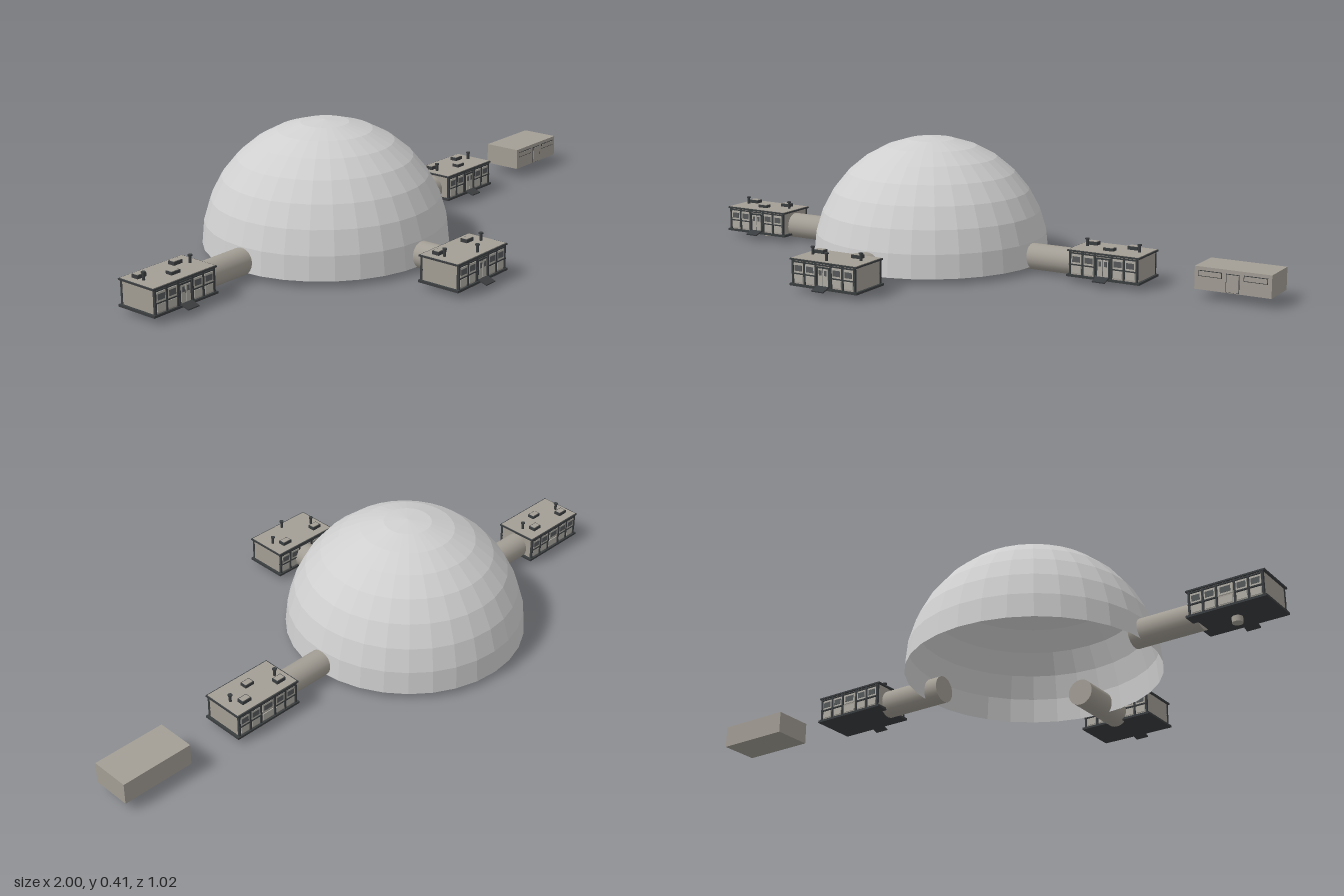
import * as THREE from 'three';

const mat = (name, color, extra = {}) => {
  const m = new THREE.MeshStandardMaterial({ color, ...extra });
  m.name = name;
  return m;
};

export function createModel() {
  const root = new THREE.Group();
  root.name = 'domeHabitat';
  const domeMat = mat('dome pale grey', 0xcfcfcf, { side: THREE.DoubleSide, flatShading: true });
  const wallMat = mat('wall warm grey', 0xa39e95);
  const trimMat = mat('trim charcoal', 0x3a3d3f);
  const panelMat = mat('panel light grey', 0xaeaca4);
  const glassMat = mat('window dark grey', 0x55585a);

  const add = (parent, name, geo, material, x, y, z) => {
    const m = new THREE.Mesh(geo, material);
    m.name = name;
    m.position.set(x, y, z);
    parent.add(m);
    return m;
  };
  const box = (p, name, material, w, h, d, x, y, z) =>
    add(p, name, new THREE.BoxGeometry(w, h, d), material, x, y, z);
  const cyl = (p, name, material, r, h, x, y, z, n = 12) =>
    add(p, name, new THREE.CylinderGeometry(r, r, h, n), material, x, y, z);

  // Faceted hemisphere, open underneath
  const DX = -0.2, DZ = -0.125;
  add(root, 'dome', new THREE.SphereGeometry(0.387, 32, 8, 0, Math.PI * 2, 0, Math.PI / 2),
    domeMat, DX, 0.018, DZ);

  // Connecting tunnels
  cyl(root, 'tunnelRight', wallMat, 0.042, 0.22, -0.66, 0.049, DZ, 24).rotation.z = Math.PI / 2;
  cyl(root, 'tunnelLeft', wallMat, 0.042, 0.22, 0.245, 0.049, DZ, 24).rotation.z = Math.PI / 2;
  cyl(root, 'tunnelFront', wallMat, 0.042, 0.22, DX, 0.049, 0.245, 24).rotation.x = Math.PI / 2;

  // Wall dressing for a long face; dir = +1 front, -1 back
  function facade(g, dir) {
    const z = dir * 0.066;
    const front = dir > 0;
    for (const s of [-1, 1]) {
      // Corner, middle and door-side posts
      for (const px of [0.113, 0.07, 0.028]) {
        box(g, 'post', trimMat, 0.006, 0.074, 0.008, s * px, 0.061, z);
      }
      // Windows in pale frames above, panels below
      for (const wx of [0.0915, 0.049]) {
        box(g, 'windowFrame', panelMat, 0.034, 0.03, 0.006, s * wx, 0.074, z);
        box(g, 'windowPane', glassMat, 0.026, 0.018, 0.008, s * wx, 0.074, z);
        box(g, 'lowerPanel', panelMat, 0.03, 0.022, 0.006, s * wx, 0.042, z);
      }
      box(g, 'sill', trimMat, 0.09, 0.004, 0.01, s * 0.071, 0.057, z);
    }
    box(g, 'lintel', trimMat, 0.23, 0.004, 0.008, 0, 0.093, z);
    if (front) {
      // Double door
      box(g, 'doorFrame', trimMat, 0.046, 0.064, 0.006, 0, 0.056, z);
      for (const s of [-1, 1]) {
        box(g, 'doorLeaf', panelMat, 0.017, 0.056, 0.009, s * 0.0095, 0.055, z);
        box(g, 'doorPane', glassMat, 0.009, 0.016, 0.011, s * 0.0095, 0.07, z);
      }
    } else {
      box(g, 'windowFrame', panelMat, 0.044, 0.03, 0.006, 0, 0.074, z);
      box(g, 'windowPane', glassMat, 0.032, 0.018, 0.008, 0, 0.074, z);
      box(g, 'lowerPanel', panelMat, 0.04, 0.022, 0.006, 0, 0.042, z);
    }
  }

  function module(name, x, z, roundVent) {
    const g = new THREE.Group();
    g.name = name;
    g.position.set(x, 0, z);
    root.add(g);
    box(g, 'basePlate', trimMat, 0.247, 0.007, 0.146, 0, 0.0215, 0);
    box(g, 'body', wallMat, 0.23, 0.076, 0.132, 0, 0.062, 0);
    box(g, 'roofTrim', trimMat, 0.244, 0.005, 0.143, 0, 0.1, 0);
    box(g, 'roof', wallMat, 0.236, 0.004, 0.135, 0, 0.102, 0);
    facade(g, 1);
    facade(g, -1);
    // Sloping entry ramp
    box(g, 'ramp', trimMat, 0.043, 0.004, 0.036, 0, 0.024, 0.083).rotation.x = 0.3;
    // Rooftop vents and stacks
    for (const s of [-1, 1]) {
      const vx = s < 0 ? -0.08 : 0.058;
      box(g, 'ventHousing', trimMat, 0.034, 0.011, 0.024, vx, 0.109, -0.03);
      box(g, 'ventTop', wallMat, 0.028, 0.003, 0.018, vx, 0.1145, -0.03);
      cyl(g, 'stack', trimMat, 0.0045, 0.026, s * 0.089, 0.115, -0.002);
      cyl(g, 'stackCap', trimMat, 0.007, 0.004, s * 0.089, 0.127, -0.002);
    }
    if (roundVent) {
      cyl(g, 'stack', trimMat, 0.0045, 0.026, 0, 0.115, 0.05);
      cyl(g, 'stackCap', trimMat, 0.007, 0.004, 0, 0.127, 0.05);
    } else {
      box(g, 'ventHousing', trimMat, 0.034, 0.01, 0.024, 0, 0.108, 0.022);
      box(g, 'ventTop', wallMat, 0.028, 0.003, 0.018, 0, 0.113, 0.022);
    }
    return g;
  }

  const right = module('moduleRight', -0.8765, -0.123, false);
  module('moduleLeft', 0.462, -0.123, false);
  module('moduleFront', -0.203, 0.412, true);
  // Drain fitting under the right module
  cyl(right, 'floorDrain', wallMat, 0.016, 0.02, 0.003, 0.01, 0.003, 16);

  // Detached plain hut
  const hut = new THREE.Group();
  hut.name = 'hut';
  hut.position.set(0.88, 0, -0.125);
  root.add(hut);
  box(hut, 'hutBody', wallMat, 0.24, 0.07, 0.128, 0, 0.065, 0);
  const hz = 0.0645;
  for (const s of [-1, 1]) {
    box(hut, 'hutWindowFrame', trimMat, 0.074, 0.018, 0.002, s * 0.071, 0.08, hz);
    box(hut, 'hutWindow', wallMat, 0.07, 0.014, 0.004, s * 0.071, 0.08, hz);
  }
  box(hut, 'hutDoorFrame', trimMat, 0.042, 0.056, 0.002, 0, 0.06, hz);
  box(hut, 'hutDoor', wallMat, 0.038, 0.053, 0.004, 0, 0.0595, hz);

  return root;
}
